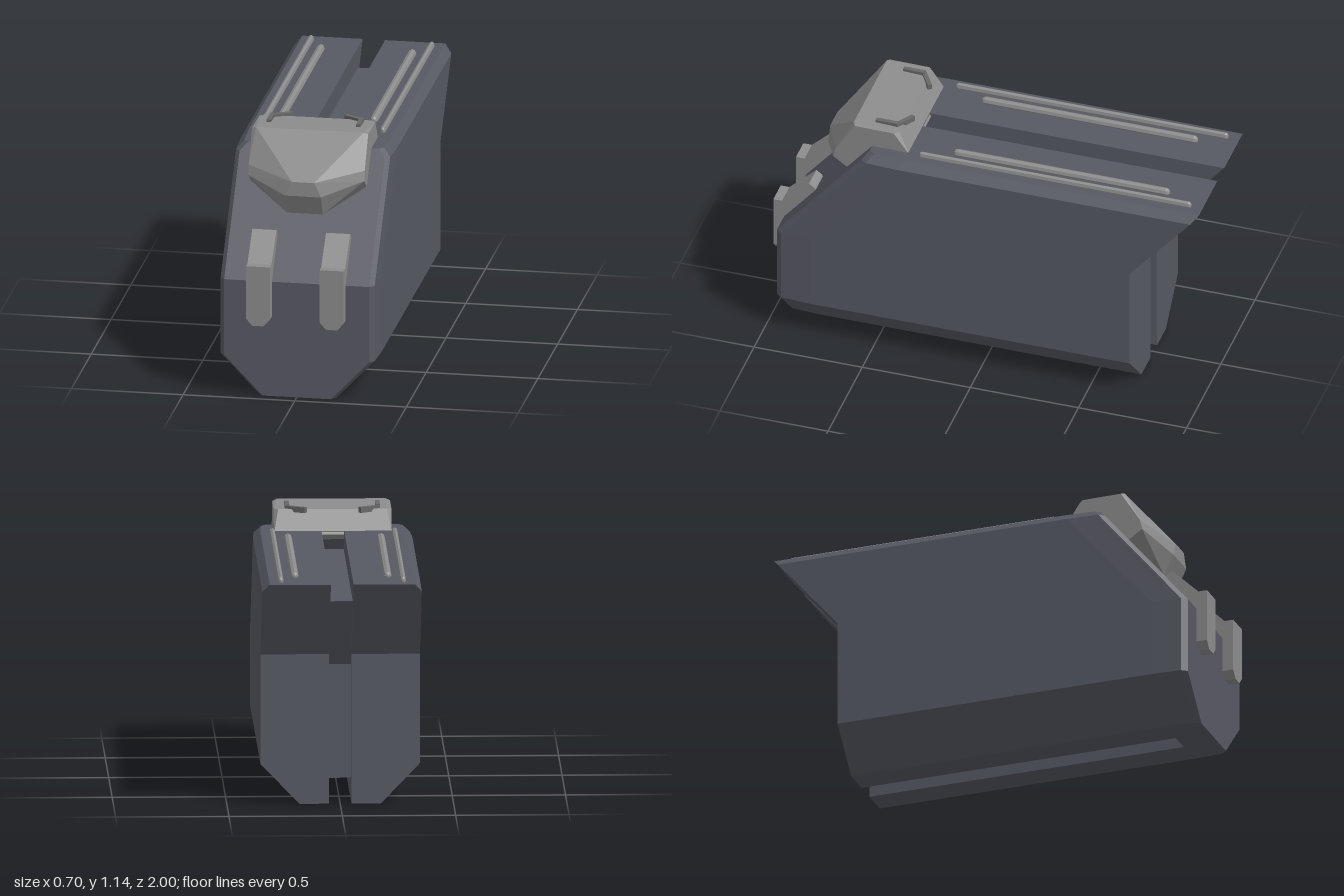
import * as THREE from 'three';
import { ConvexGeometry } from 'three/addons/geometries/ConvexGeometry.js';

const mat = (color) => new THREE.MeshStandardMaterial({ color, flatShading: true });
const bodyMat = mat(0x575963);
const greyMat = mat(0x8c8c8c);
const trimMat = mat(0x686868);

function add(parent, name, geometry, material) {
  const mesh = new THREE.Mesh(geometry, material);
  mesh.name = name;
  parent.add(mesh);
  return mesh;
}

// Stack of matching horizontal outlines, closed at top and bottom.
function loft(rings) {
  const n = rings[0].length;
  const index = [];
  for (let i = 0; i < rings.length - 1; i++) {
    for (let j = 0; j < n; j++) {
      const a = i * n + j, b = i * n + (j + 1) % n;
      index.push(a, a + n, b, b, a + n, b + n);
    }
  }
  const top = (rings.length - 1) * n;
  for (let j = 1; j < n - 1; j++) {
    index.push(0, j, j + 1, top, top + j + 1, top + j);
  }
  const g = new THREE.BufferGeometry();
  g.setAttribute('position', new THREE.Float32BufferAttribute(rings.flat(2), 3));
  g.setIndex(index);
  const flat = g.toNonIndexed();
  flat.computeVertexNormals();
  return flat;
}

// Side profile of [z, y] points, extruded across x and centred.
function sideProfile(points, width) {
  const shape = new THREE.Shape(points.map(([z, y]) => new THREE.Vector2(z, y)));
  const g = new THREE.ExtrudeGeometry(shape, { depth: width, bevelEnabled: false });
  return g.rotateY(-Math.PI / 2).translate(width / 2, 0, 0);
}

// Convex solid symmetric in x.
function symmetricHull(points) {
  return new ConvexGeometry(points.flatMap(([x, y, z]) =>
    [new THREE.Vector3(x, y, z), new THREE.Vector3(-x, y, z)]));
}

const GAP = 0.05;

// One half of the hull: [y, half width, back z, seam z, front z]
function hullHalf() {
  const levels = [
    [0, 0.18, -0.69, 0.79, 0.95],
    [0.18, 0.352, -0.69, 0.79, 0.95],
    [0.53, 0.352, -0.69, 0.79, 0.95],
    [0.67, 0.352, -0.69, 0.67, 0.834],
    [1.0, 0.352, -0.97, 0.39, 0.56],
    [1.035, 0.32, -1.0, 0.36, 0.53],
  ];
  return loft(levels.map(([y, w, back, seam, front]) => [
    [GAP, y, back], [w, y, back], [w, y, seam],
    [w - 0.007, y, front - 0.025], [w - 0.027, y, front], [GAP, y, front],
  ]));
}

function makeSide() {
  const side = new THREE.Group();
  add(side, 'hullHalf', hullHalf(), bodyMat);

  // Rounded rails along the top: [x, radius, back z, front z]
  for (const [x, r, z0, z1] of [[0.27, 0.013, -0.95, 0.31], [0.205, 0.018, -0.83, 0.17]]) {
    const rail = new THREE.CapsuleGeometry(r, z1 - z0 - 2 * r, 3, 8).rotateX(Math.PI / 2);
    rail.scale(1, 0.02 / r, 1).translate(x, 1.042, (z0 + z1) / 2);
    add(side, 'topRail', rail, greyMat);
  }

  // Front lug: tapered lower plate and sloping upper part
  const lug = new THREE.Group();
  lug.name = 'frontLug';
  lug.position.x = 0.165;
  const plate = new THREE.Shape([
    [-0.054, 0.612], [-0.054, 0.37], [-0.025, 0.337],
    [0.025, 0.337], [0.054, 0.37], [0.054, 0.612],
  ].map((p) => new THREE.Vector2(...p)));
  add(lug, 'lugPlate', new THREE.ExtrudeGeometry(plate,
    { depth: 0.06, bevelEnabled: false }).translate(0, 0, 0.94), greyMat);
  add(lug, 'lugSlope', sideProfile(
    [[0.94, 0.5], [0.96, 0.5], [0.96, 0.612], [0.835, 0.733], [0.81, 0.715], [0.79, 0.68]],
    0.108), greyMat);
  side.add(lug);

  // Hooked ridge on top of the head block
  const hook = new THREE.Group();
  hook.name = 'hookRidge';
  add(hook, 'hookLong', new THREE.BoxGeometry(0.02, 0.025, 0.1)
    .translate(0.2, 1.13, 0.48), trimMat);
  add(hook, 'hookShort', new THREE.BoxGeometry(0.02, 0.025, 0.1)
    .rotateY(1.02).translate(0.162, 1.125, 0.41), trimMat);
  side.add(hook);
  return side;
}

export function createModel() {
  const model = new THREE.Group();
  model.name = 'hull';

  for (const s of [1, -1]) {
    const side = makeSide();
    side.name = s > 0 ? 'leftSide' : 'rightSide';
    side.scale.x = s;
    model.add(side);
  }

  // Centre of the sloped front, closing the slot
  add(model, 'frontPlate', sideProfile([
    [0.95, 0], [0.95, 0.53], [0.53, 1.035], [0.36, 1.035], [0.79, 0.53], [0.79, 0],
  ], 2 * GAP), bodyMat);

  // Recessed spine inside the slot
  add(model, 'spine', sideProfile([
    [0.8, 0.1], [0.8, 0.53], [0.45, 0.94], [-0.88, 0.94], [-0.6, 0.61], [-0.6, 0.1],
  ], 2 * GAP), bodyMat);

  // Faceted head block on the top front edge
  add(model, 'headBlock', symmetricHull([
    [0.24, 1.125, 0.41], [0.26, 1.02, 0.355], [0.26, 1.125, 0.43],
    [0.26, 1.127, 0.61], [0.24, 1.135, 0.62],
    [0.26, 0.985, 0.7], [0.26, 0.94, 0.71], [0.26, 0.895, 0.645],
    [0.05, 0.945, 0.79], [0.08, 0.88, 0.79], [0.08, 0.787, 0.745],
    [0.08, 0.787, 0.7],
  ]), greyMat);

  return model;
}
